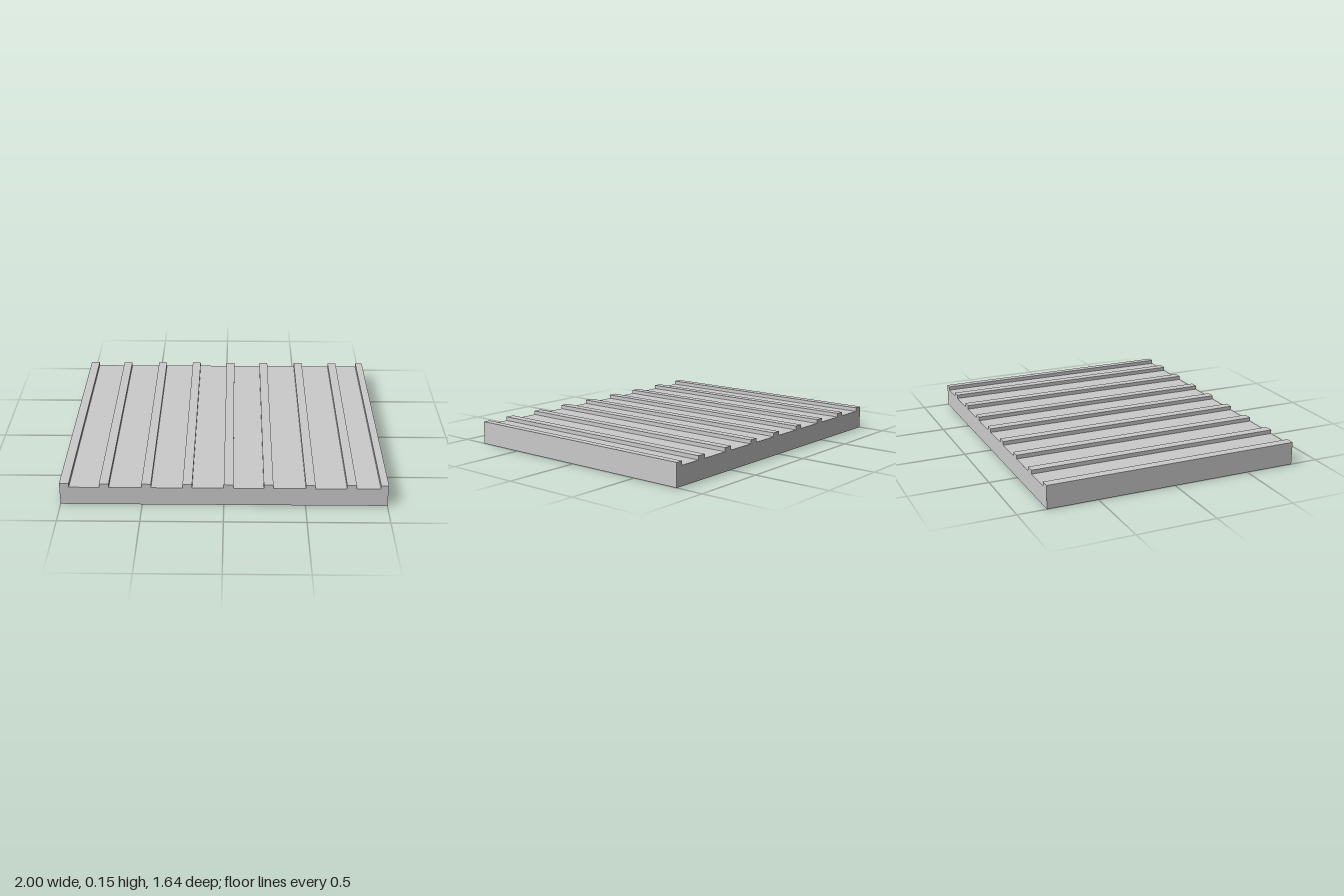
import * as THREE from 'three';

export function createModel() {
  const group = new THREE.Group();
  const material = new THREE.MeshStandardMaterial({ color: 0xcccccc, flatShading: true });
  const depth = 1.64, slabTop = 0.122, ribTop = 0.147;

  // Box given by its x and y ranges, running the full depth
  function addBox(name, x0, x1, y0, y1) {
    const mesh = new THREE.Mesh(new THREE.BoxGeometry(x1 - x0, y1 - y0, depth), material);
    mesh.position.set((x0 + x1) / 2, (y0 + y1) / 2, 0);
    mesh.name = name;
    group.add(mesh);
  }

  // Base slab
  addBox('slab', -1, 1, 0, slabTop);

  // Raised ribs along the depth; the last one is cut off by the slab's edge
  const ribStarts = [-1, -0.757, -0.5, -0.25, 0, 0.243, 0.498, 0.748, 0.953];
  ribStarts.forEach((x, i) => {
    addBox(`rib${i + 1}`, x, Math.min(x + 0.058, 1), slabTop, ribTop);
  });

  return group;
}
